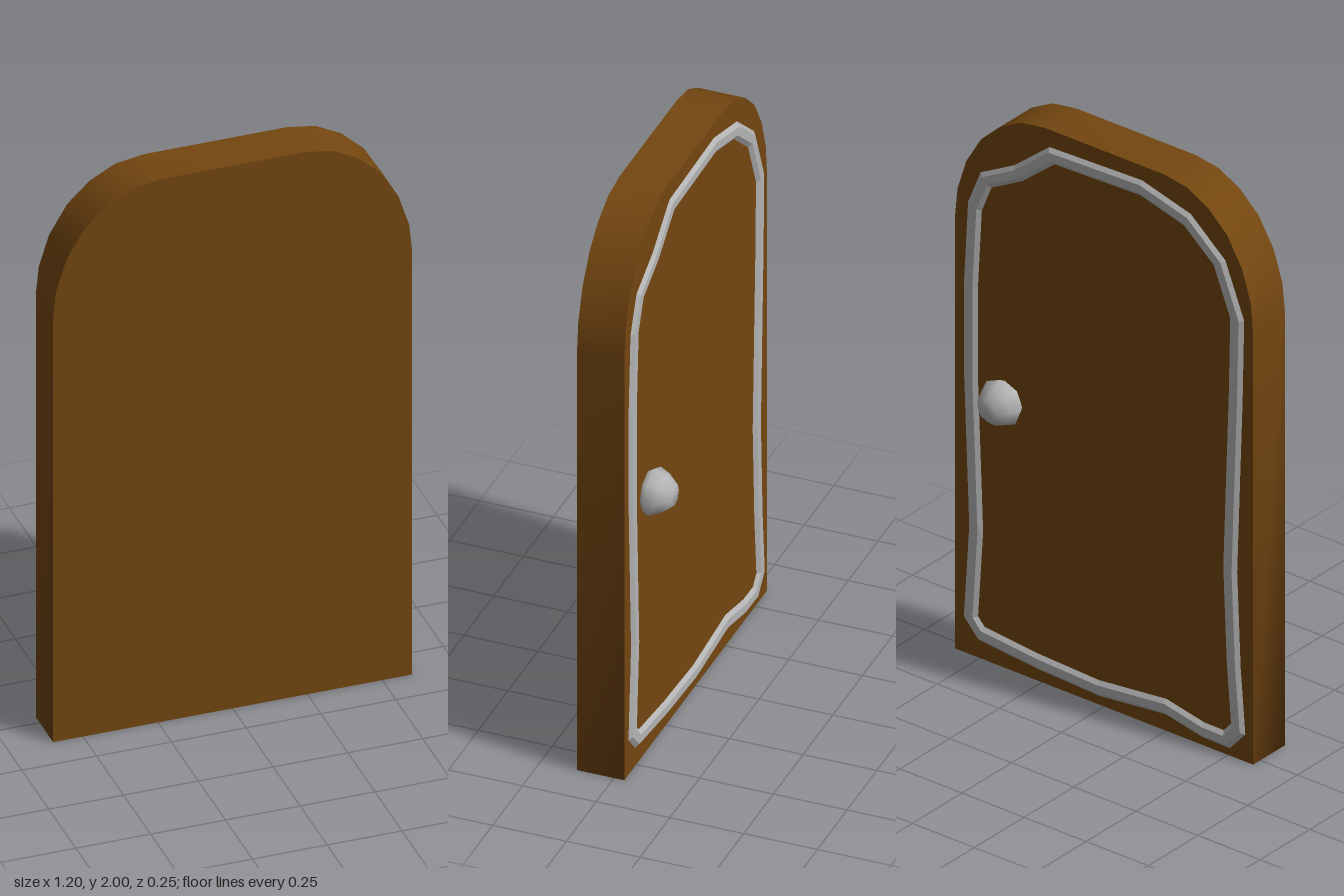
import * as THREE from 'three';

const FRONT = 0.125, BACK = -0.035;

// Joins closed rings of points (counter-clockwise seen from +z) with quads
function loft(rings, flat) {
  const n = rings[0].length, index = [];
  for (let r = 0; r < rings.length - 1; r++) {
    for (let i = 0; i < n; i++) {
      const j = (i + 1) % n, a = r * n, b = a + n;
      index.push(a + i, b + i, b + j, a + i, b + j, a + j);
    }
  }
  let geo = new THREE.BufferGeometry();
  geo.setAttribute('position', new THREE.Float32BufferAttribute(rings.flat(2), 3));
  geo.setIndex(index);
  if (flat) geo = geo.toNonIndexed();
  geo.computeVertexNormals();
  return geo;
}

// Moves a closed outline outwards by d with mitred corners, at depth z
function offsetRing(pts, d, z) {
  const n = pts.length;
  const normal = (a, b) => new THREE.Vector2(b[1] - a[1], a[0] - b[0]).normalize();
  return pts.map((p, i) => {
    const n1 = normal(pts[(i + n - 1) % n], p), n2 = normal(p, pts[(i + 1) % n]);
    const m = n1.clone().add(n2).multiplyScalar(d / (1 + n1.dot(n2)));
    return [p[0] + m.x, p[1] + m.y, z];
  });
}

export function createModel() {
  const wood = new THREE.MeshStandardMaterial({ color: 0x734610 });
  wood.name = 'brown wood';
  const metal = new THREE.MeshStandardMaterial({ color: 0xb4b4b4 });
  metal.name = 'grey metal';
  const model = new THREE.Group();
  model.name = 'door';
  const add = (name, geo, mat, parent = model) => {
    const mesh = new THREE.Mesh(geo, mat);
    mesh.name = name;
    parent.add(mesh);
    return mesh;
  };

  // Door slab with rounded top corners
  const half = [[0.6, 0], [0.6, 1.56], [0.59, 1.66], [0.555, 1.77], [0.495, 1.87],
    [0.42, 1.94], [0.335, 1.985], [0.24, 2]];
  const outline = [...half, ...half.map(([x, y]) => [-x, y]).reverse()];
  const slab = new THREE.Group();
  slab.name = 'slab';
  model.add(slab);
  const face = new THREE.ShapeGeometry(new THREE.Shape(outline.map(p => new THREE.Vector2(...p))));
  add('frontFace', face, wood, slab).position.z = FRONT;
  const back = add('backFace', face, wood, slab);
  back.position.z = BACK;
  back.rotation.y = Math.PI;
  add('edge', loft([offsetRing(outline, 0, FRONT), offsetRing(outline, 0, BACK)], false), wood, slab);

  // Wobbly raised trim around the back face
  const path = [[0.52, 1.62], [0.475, 1.73], [0.345, 1.8], [0.21, 1.91], [-0.15, 1.92],
    [-0.335, 1.87], [-0.465, 1.76], [-0.536, 1.58], [-0.53, 1.3], [-0.508, 0.67],
    [-0.522, 0.33], [-0.54, 0.107], [-0.494, 0.055], [-0.4, 0.056], [-0.25, 0.087],
    [0.02, 0.06], [0.266, 0.07], [0.494, 0.092], [0.536, 0.138], [0.515, 0.46],
    [0.536, 1.01], [0.536, 1.33]];
  add('trim', loft([
    offsetRing(path, 0.028, BACK), offsetRing(path, 0.014, -0.046),
    offsetRing(path, -0.014, -0.046), offsetRing(path, -0.028, BACK),
  ], true), metal);

  // Faceted round knob
  const profile = [[0.07, 0], [0.082, 0.02], [0.066, 0.055], [0.037, 0.09], [0, 0.09]];
  const knob = add('knob', new THREE.LatheGeometry(
    profile.map(p => new THREE.Vector2(...p)), 8), metal);
  knob.rotation.x = -Math.PI / 2;
  knob.position.set(0.4, 0.963, BACK);

  return model;
}
